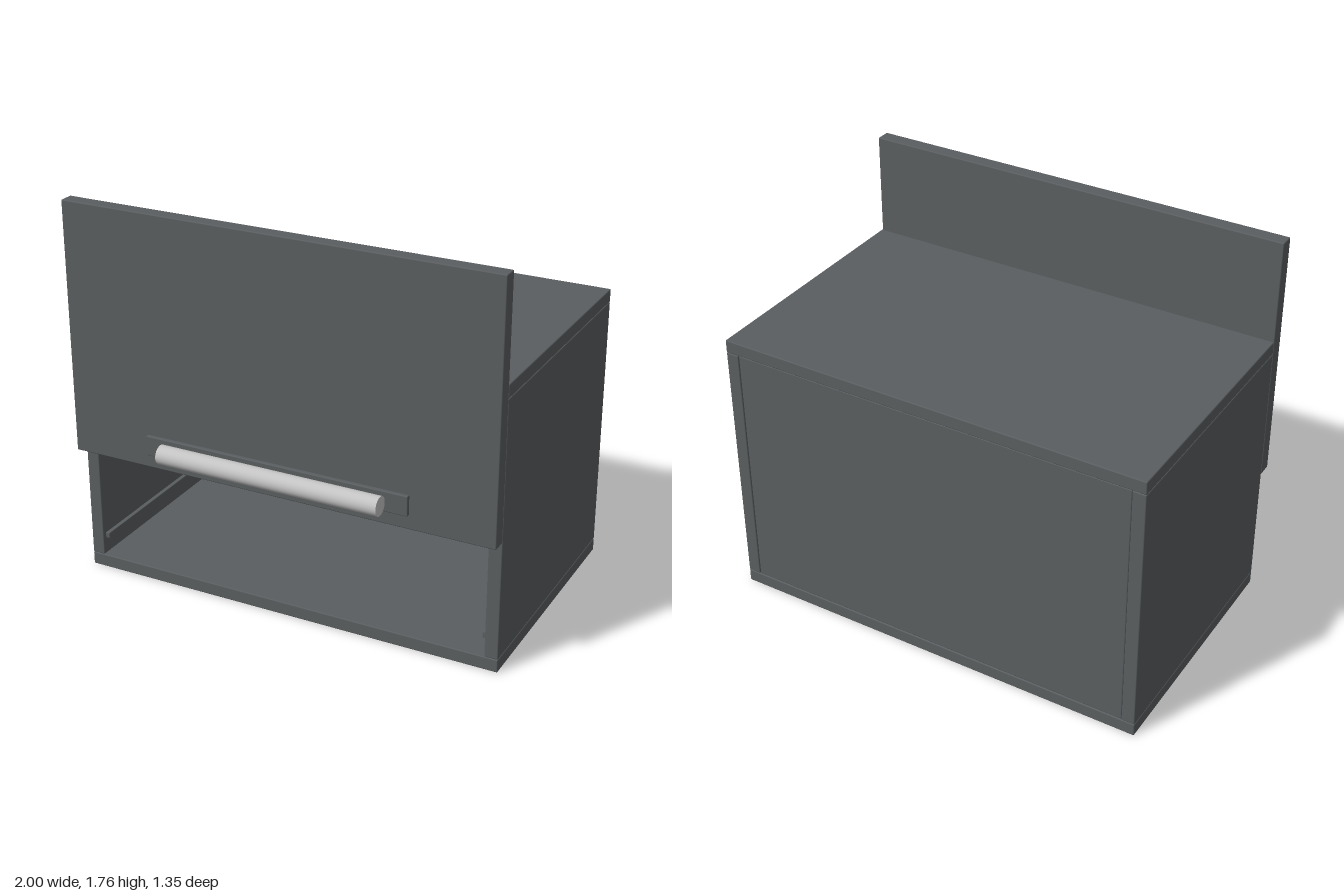
import * as THREE from 'three';
import { RoundedBoxGeometry } from 'three/addons/geometries/RoundedBoxGeometry.js';

export function createModel() {
  const model = new THREE.Group();
  model.name = 'cabinet';

  const panelGrey = new THREE.MeshStandardMaterial({ color: 0x5a5e60 });
  panelGrey.name = 'panelGrey';
  const brushedMetal = new THREE.MeshStandardMaterial({ color: 0xc4c4c4 });
  brushedMetal.name = 'brushedMetal';

  // Softly edged board given by its min and max corners
  function board(name, [x0, y0, z0], [x1, y1, z1], radius = 0.005, parent = model) {
    const geometry = new RoundedBoxGeometry(x1 - x0, y1 - y0, z1 - z0, 2, radius);
    const mesh = new THREE.Mesh(geometry, panelGrey);
    mesh.position.set((x0 + x1) / 2, (y0 + y1) / 2, (z0 + z1) / 2);
    mesh.name = name;
    parent.add(mesh);
    return mesh;
  }

  // Carcass
  const back = -0.675, front = 0.5;
  board('bottomPanel', [-1, 0, back], [1, 0.06, front]);
  board('topPanel', [-1, 1.238, back], [1, 1.298, front]);
  board('backPanel', [-0.938, 0.061, back + 0.003], [0.938, 1.237, back + 0.06]);
  for (const [side, s] of [['left', 1], ['right', -1]]) {
    const x = [s * 0.939, s * 1].sort((a, b) => a - b);
    board(side + 'Panel', [x[0], 0.061, back], [x[1], 1.237, front]);

    // Slim runner along the inner face
    const r = [s * 0.92, s * 0.941].sort((a, b) => a - b);
    board(side + 'Runner', [r[0], 0.138, -0.6], [r[1], 0.165, 0.48], 0.003);
  }

  // Raised front panel
  board('frontPanel', [-1, 0.61, 0.503], [1, 1.765, 0.57]);

  // Pull handle: backing plate, two posts and a round bar
  const handle = new THREE.Group();
  handle.name = 'handle';
  model.add(handle);
  board('handlePlate', [-0.62, 0.675, 0.568], [0.62, 0.766, 0.588], 0.004, handle);
  for (const x of [-0.48, 0.48]) {
    const post = new THREE.Mesh(new THREE.CylinderGeometry(0.025, 0.025, 0.03, 24), panelGrey);
    post.rotation.x = Math.PI / 2;
    post.position.set(x, 0.72, 0.595);
    post.name = 'handlePost';
    handle.add(post);
  }
  const bar = new THREE.Mesh(new THREE.CylinderGeometry(0.043, 0.043, 1.04, 40), brushedMetal);
  bar.rotation.z = Math.PI / 2;
  bar.position.set(0, 0.72, 0.632);
  bar.name = 'handleBar';
  handle.add(bar);

  return model;
}
